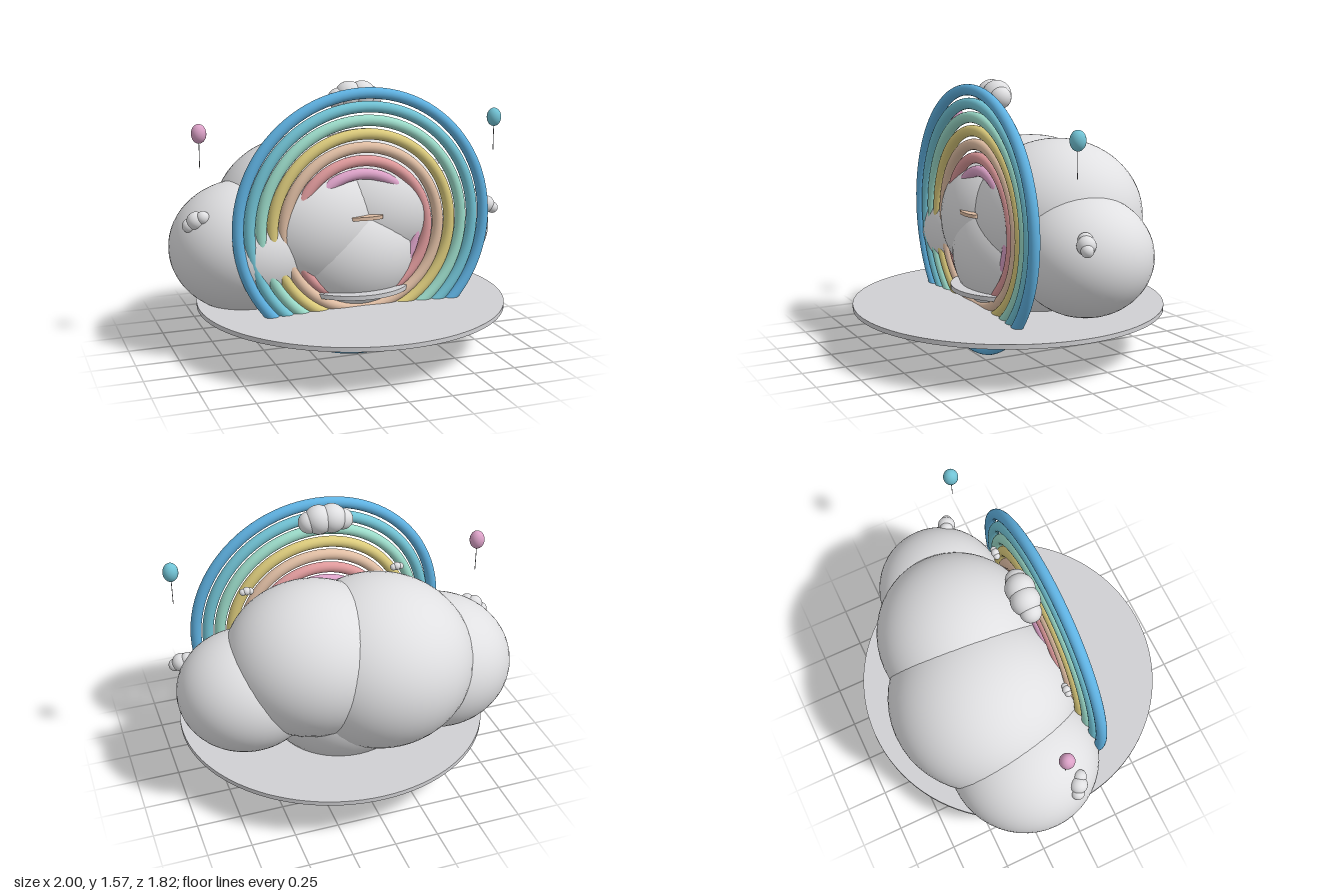
import * as THREE from 'three';

export function createModel() {
  const root = new THREE.Group();
  root.name = 'rainbowCloudIsland';

  const mat = (name, color) => {
    const m = new THREE.MeshStandardMaterial({ color });
    m.name = name;
    return m;
  };
  const blue = mat('blue', 0x5fb2e2);
  const teal = mat('teal', 0x72c4d6);
  const mint = mat('mint', 0x9cdcca);
  const yellow = mat('yellow', 0xdccb7c);
  const tan = mat('tan', 0xe0bea4);
  const salmon = mat('salmon', 0xdf9a9c);
  const pink = mat('pink', 0xdca2c8);
  const cloud = mat('cloudWhite', 0xe0e0e2);
  const floor = mat('floorGrey', 0xd0d0d3);
  const string = mat('stringGrey', 0x8c8c90);

  const add = (name, geo, material, pos, scale = [1, 1, 1], parent = root) => {
    const m = new THREE.Mesh(geo, material);
    m.name = name;
    m.position.set(...pos);
    m.scale.set(...scale);
    parent.add(m);
    return m;
  };
  const ball = new THREE.SphereGeometry(1, 48, 32);
  const smallBall = new THREE.SphereGeometry(1, 24, 16);

  // Rainbow: nested rings, each a little lower and further back
  [blue, teal, mint, yellow, tan, salmon, pink].forEach((m, i) => {
    add(m.name + 'Ring', new THREE.TorusGeometry(0.743 - 0.068 * i, 0.032, 20, 96), m,
      [0.043, 0.777 - 0.0098 * i, 0.234 - 0.01 * i]);
  });

  // Large cloud body: overlapping flattened balls
  [
    ['cloudRight', [-0.55, 0.6, -0.18], [0.45, 0.39, 0.44]],
    ['cloudLeft', [0.6, 0.64, -0.18], [0.395, 0.34, 0.38]],
    ['cloudBack', [-0.16, 0.73, -0.26], [0.55, 0.49, 0.55]],
    ['cloudTop', [0.22, 0.807, -0.23], [0.505, 0.433, 0.48]],
    ['cloudBottom', [0.04, 0.56, -0.16], [0.48, 0.43, 0.47]],
  ].forEach(([name, p, s]) => add(name, ball, cloud, p, s));

  // Base disc and the two small ledges
  add('baseDisc', new THREE.CylinderGeometry(0.91, 0.91, 0.026, 96), floor, [0.04, 0.272, 0]);
  add('lowerLedge', new THREE.CylinderGeometry(0.36, 0.36, 0.026, 64), floor, [0.045, 0.368, -0.022]);
  add('upperLedge', new THREE.CylinderGeometry(1, 1, 0.02, 48), tan, [0.045, 0.815, 0.255], [0.1, 1, 0.03]);

  // Small clouds: each puff is x, y, z, radius
  const puffs = (name, list) => {
    const g = new THREE.Group();
    g.name = name;
    list.forEach(([x, y, z, r], i) => add('puff' + (i + 1), smallBall, cloud, [x, y, z], [r, r, r], g));
    root.add(g);
  };
  puffs('topCloud', [
    [-0.065, 1.475, 0.085, 0.06], [0.0, 1.49, 0.085, 0.083],
    [0.075, 1.49, 0.09, 0.083], [0.13, 1.478, 0.095, 0.062],
  ]);
  puffs('rightCloud', [
    [-0.915, 0.785, -0.02, 0.04], [-0.88, 0.815, 0, 0.052], [-0.845, 0.835, 0.025, 0.038],
  ]);
  puffs('leftCloud', [
    [0.89, 0.795, -0.01, 0.042], [0.925, 0.775, 0.005, 0.052], [0.96, 0.755, 0.02, 0.035],
  ]);
  [-0.425, 0.495].forEach((x, i) => puffs(i ? 'tinyCloudLeft' : 'tinyCloudRight', [
    [x - 0.022, 1.08, 0.137, 0.02], [x, 1.084, 0.137, 0.024], [x + 0.022, 1.08, 0.137, 0.02],
  ]));

  // Balloons with strings
  const balloon = (name, m, x, y, z) => {
    const g = new THREE.Group();
    g.name = name;
    add('balloonBody', smallBall, m, [0, 0, 0], [0.043, 0.055, 0.043], g);
    add('balloonString', new THREE.CylinderGeometry(0.002, 0.002, 0.15, 6), string, [0, -0.122, 0], [1, 1, 1], g);
    g.position.set(x, y, z);
    root.add(g);
  };
  balloon('pinkBalloon', pink, -0.833, 1.293, -0.073);
  balloon('tealBalloon', teal, 0.93, 1.321, 0.066);

  return root;
}
